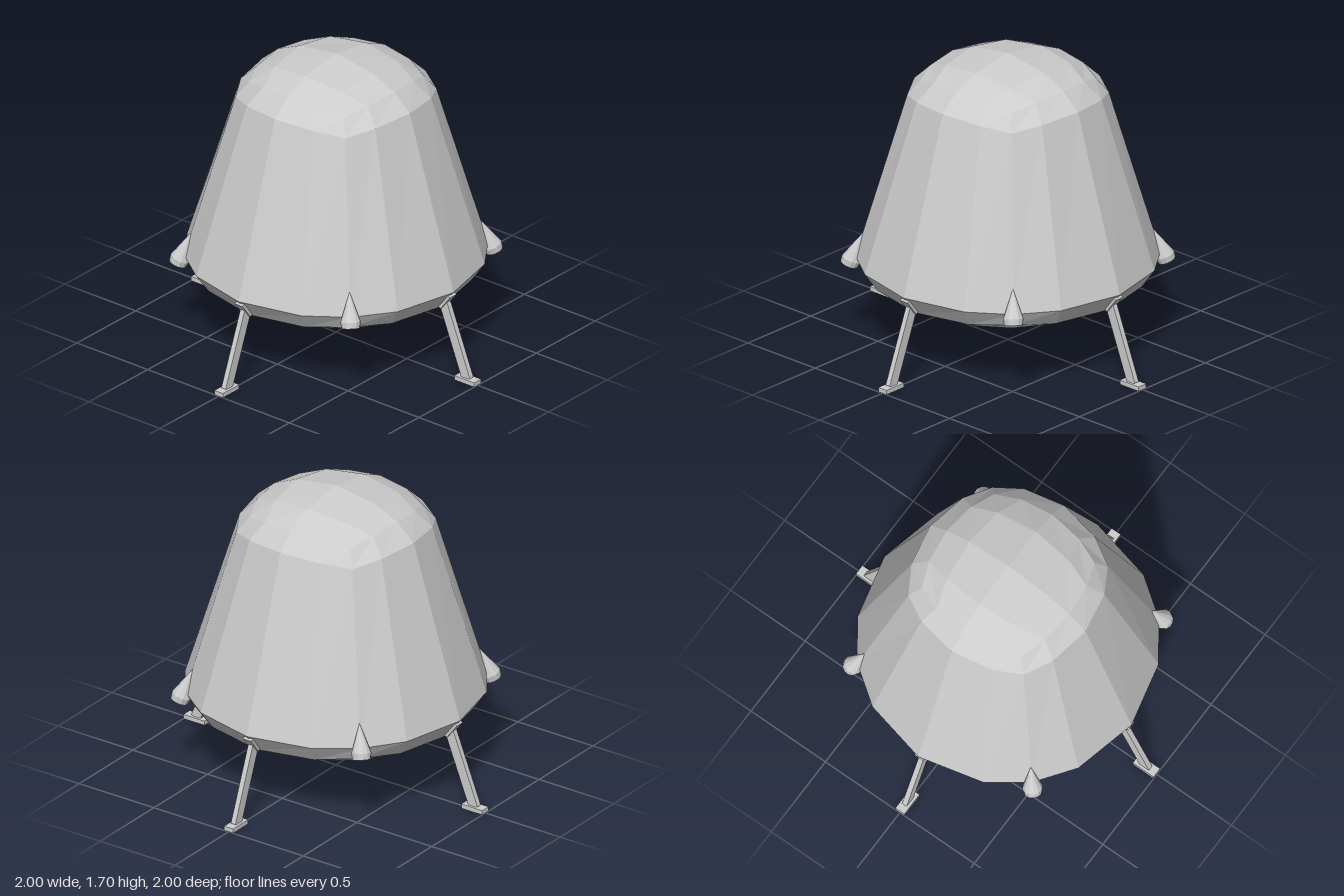
import * as THREE from 'three';

const material = new THREE.MeshStandardMaterial({ color: 0xcccccc, flatShading: true, side: THREE.DoubleSide });

function part(name, geometry, parent) {
  const mesh = new THREE.Mesh(geometry, material);
  mesh.name = name;
  parent.add(mesh);
  return mesh;
}

// Cabin: a gridded cube blown up to a sphere, lower half a wide shallow bowl,
// upper half a smaller dome lifted high to stretch the walls into a cone.
function cabinGeometry() {
  const geometry = new THREE.BoxGeometry(2, 2, 2, 4, 4, 4);
  const pos = geometry.attributes.position;
  const v = new THREE.Vector3();
  for (let i = 0; i < pos.count; i++) {
    v.fromBufferAttribute(pos, i).normalize();
    const upper = v.y > 0.01;
    const r = upper ? 0.582 : 0.83;
    pos.setXYZ(i, v.x * r, upper ? 1.34 + v.y * 0.36 : 0.51 + v.y * 0.255, v.z * r);
  }
  geometry.computeVertexNormals();
  return geometry;
}

// Box whose long axis runs between two points of the xy plane
function beam(name, [x0, y0], [x1, y1], thick, depth, parent) {
  const dx = x1 - x0, dy = y1 - y0;
  const mesh = part(name, new THREE.BoxGeometry(thick, Math.hypot(dx, dy), depth), parent);
  mesh.position.set((x0 + x1) / 2, (y0 + y1) / 2, 0);
  mesh.rotation.z = Math.atan2(-dx, dy);
}

// Landing leg pointing along +x
function makeLeg() {
  const leg = new THREE.Group();
  leg.name = 'landingLeg';
  beam('strut', [0.93, 0.02], [0.75, 0.48], 0.06, 0.03, leg);
  beam('legMount', [0.752, 0.405], [0.82, 0.494], 0.02, 0.055, leg);
  part('footPad', new THREE.BoxGeometry(0.14, 0.026, 0.06), leg).position.set(0.93, 0.013, 0);
  return leg;
}

// Pointed thruster with a recessed nozzle, its tip resting on the wall
function makeThruster() {
  const group = new THREE.Group();
  group.name = 'thruster';
  const profile = [[0, 0.03], [0.045, 0.03], [0.05, 0], [0.056, 0.035], [0, 0.2]]
    .map(([x, y]) => new THREE.Vector2(x, y));
  const nozzle = part('nozzle', new THREE.LatheGeometry(profile, 12), group);
  nozzle.position.set(0.864, 0.46, 0);
  nozzle.rotation.z = 0.38;
  return group;
}

export function createModel() {
  const model = new THREE.Group();
  model.name = 'landerCapsule';
  part('cabin', cabinGeometry(), model);

  // Four legs on the axes, four thrusters on the diagonals
  for (let i = 0; i < 4; i++) {
    const leg = makeLeg();
    leg.rotation.y = i * Math.PI / 2;
    const thruster = makeThruster();
    thruster.rotation.y = (i + 0.5) * Math.PI / 2;
    model.add(leg, thruster);
  }
  return model;
}
